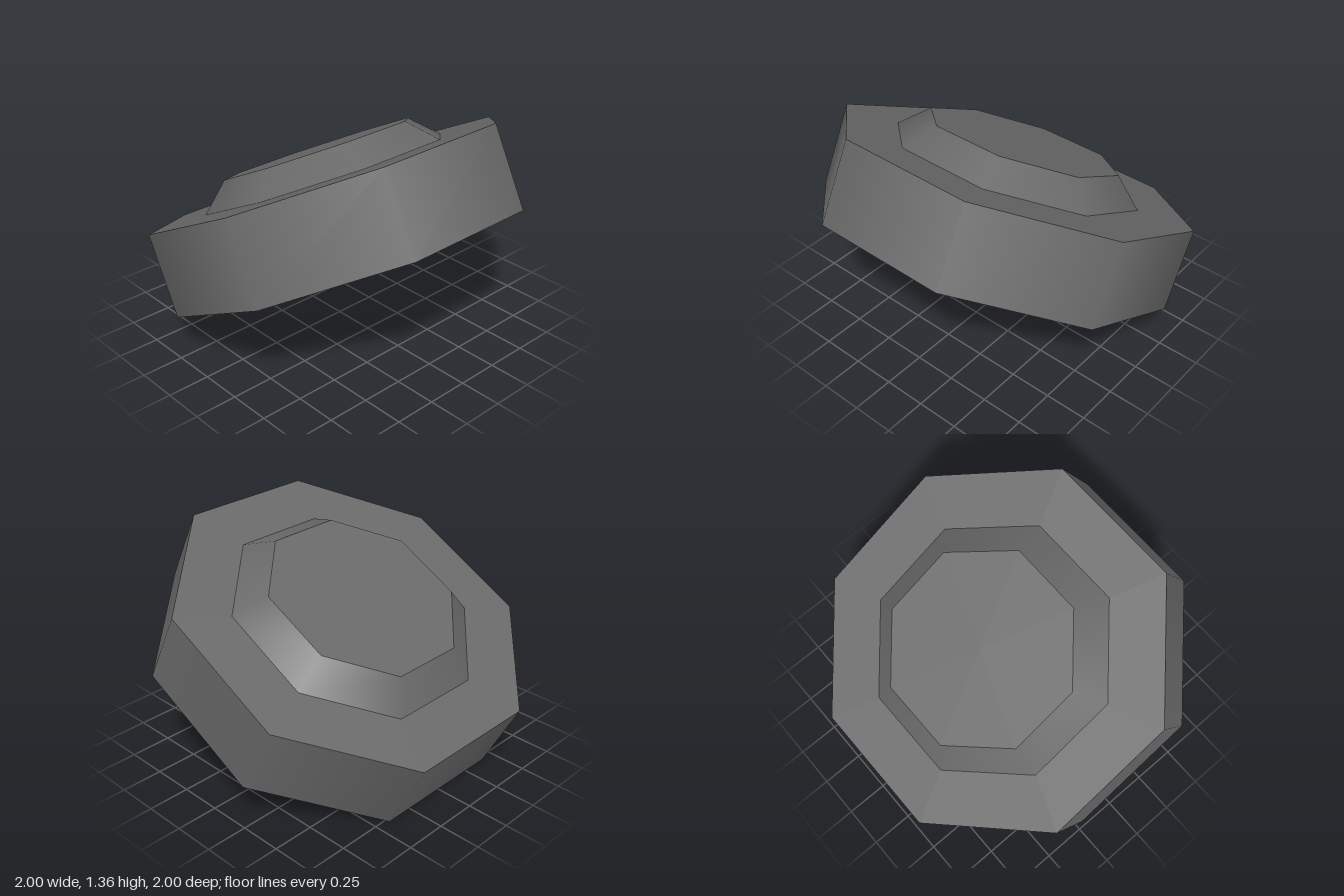
import * as THREE from 'three';

export function createModel() {
  const model = new THREE.Group();
  const grey = new THREE.MeshStandardMaterial({ color: 0x696969 });
  grey.name = 'dark grey';

  // Octagonal drum with smooth sides; sizes are measured across the flats
  const toRadius = 1 / Math.cos(Math.PI / 8);
  const drum = (name, topApothem, bottomApothem, height, y) => {
    const geometry = new THREE.CylinderGeometry(
      topApothem * toRadius, bottomApothem * toRadius, height, 8, 1, false, Math.PI / 8);
    const mesh = new THREE.Mesh(geometry, grey);
    mesh.name = name;
    mesh.position.y = y;
    return mesh;
  };

  // Tilted button: thick base with a raised, tapered cap
  const button = new THREE.Group();
  button.name = 'tiltedButton';
  button.add(drum('base', 1.0, 1.0, 0.49, 0));
  button.add(drum('raisedCap', 0.537, 0.69, 0.153, 0.245 + 0.0765));
  button.rotation.z = THREE.MathUtils.degToRad(27.5);
  button.position.y = 0.682;
  model.add(button);

  return model;
}
